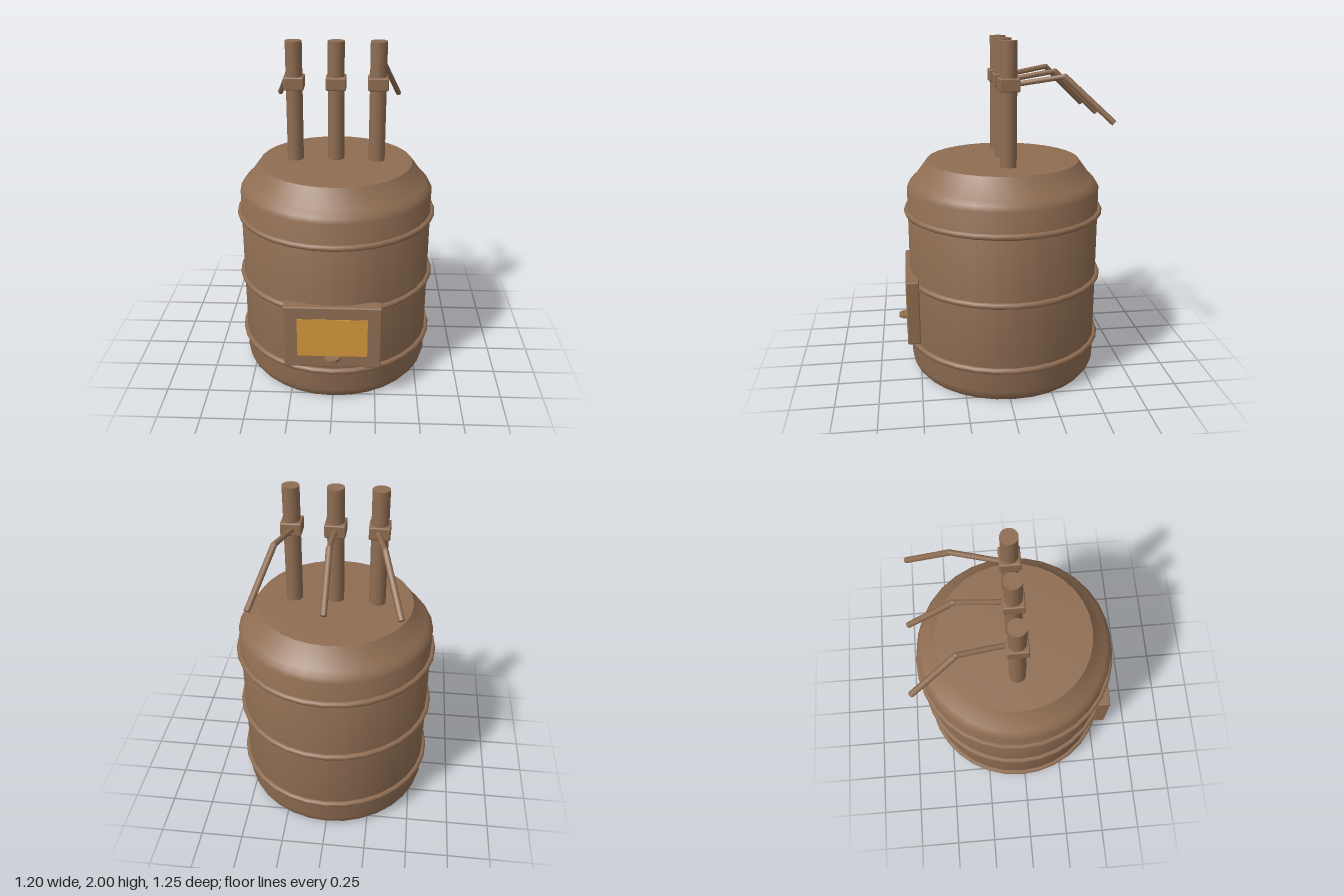
import * as THREE from 'three';
import { toCreasedNormals } from 'three/addons/utils/BufferGeometryUtils.js';
import { RoundedBoxGeometry } from 'three/addons/geometries/RoundedBoxGeometry.js';

export function createModel() {
  const group = new THREE.Group();
  const brown = new THREE.MeshStandardMaterial({ name: 'brown metal', color: 0x8f6d52 });
  const amber = new THREE.MeshStandardMaterial({ name: 'amber glow', color: 0xd6983c });
  const Z = -0.025; // axis of the tank

  const add = (name, geometry, x, y, z, material = brown) => {
    const mesh = new THREE.Mesh(geometry, material);
    mesh.name = name;
    mesh.position.set(x, y, z);
    group.add(mesh);
    return mesh;
  };

  // Round rod between two points
  const rod = (name, a, b, radius) => {
    const dir = b.clone().sub(a);
    const mid = a.clone().add(b).multiplyScalar(0.5);
    const mesh = add(name, new THREE.CylinderGeometry(radius, radius, dir.length(), 8), mid.x, mid.y, mid.z);
    mesh.quaternion.setFromUnitVectors(new THREE.Vector3(0, 1, 0), dir.normalize());
  };

  // Tank with bevelled foot, sloping shoulder and shallow lid
  const profile = [
    [0, 0], [0.545, 0], [0.564, 0.025], [0.574, 0.06], [0.574, 1.14], [0.56, 1.165],
    [0.537, 1.192], [0.525, 1.2], [0.452, 1.3], [0, 1.315],
  ].map(([r, y]) => new THREE.Vector2(r, y));
  add('tank', toCreasedNormals(new THREE.LatheGeometry(profile, 32), 0.7), 0, 0, Z);

  // Hoops around the tank
  for (const y of [0.2, 0.6, 1.0]) {
    const hoop = add('hoop', new THREE.TorusGeometry(0.58, 0.018, 8, 32), 0, y, Z);
    hoop.rotation.x = Math.PI / 2;
  }

  // Pipes with collars and bent levers reaching backwards
  for (const side of [-1, 0, 1]) {
    const x = side * 0.24;
    add('pipe', new THREE.CylinderGeometry(0.048, 0.048, 0.72, 20), x, 1.64, Z);
    add('collar', new RoundedBoxGeometry(0.116, 0.074, 0.116, 2, 0.008), x, 1.765, Z);
    const start = new THREE.Vector3(side * 0.232, 1.765, -0.07);
    const bend = new THREE.Vector3(side * 0.282, 1.808, -0.328);
    const end = new THREE.Vector3(side * 0.386, 1.565, -0.585);
    rod('leverArm', start, bend, 0.015);
    rod('leverHandle', bend, end, 0.017);
    add('leverElbow', new THREE.SphereGeometry(0.016, 8, 6), bend.x, bend.y, bend.z);
  }

  // Firebox door and glowing window
  add('door', new RoundedBoxGeometry(0.556, 0.395, 0.076, 2, 0.008), 0, 0.4425, 0.537);
  add('window', new THREE.BoxGeometry(0.4, 0.242, 0.006), 0, 0.444, 0.575, amber);

  // Tapered door latch
  const latch = new THREE.Shape([
    [-0.05, 0], [0.05, 0], [0.042, 0.03], [0.02, 0.055], [-0.02, 0.055], [-0.042, 0.03],
  ].map(([x, y]) => new THREE.Vector2(x, y)));
  const latchGeometry = new THREE.ExtrudeGeometry(latch, { depth: 0.018, bevelEnabled: false });
  latchGeometry.rotateX(Math.PI / 2);
  add('latch', latchGeometry, 0, 0.323, 0.57);

  return group;
}
